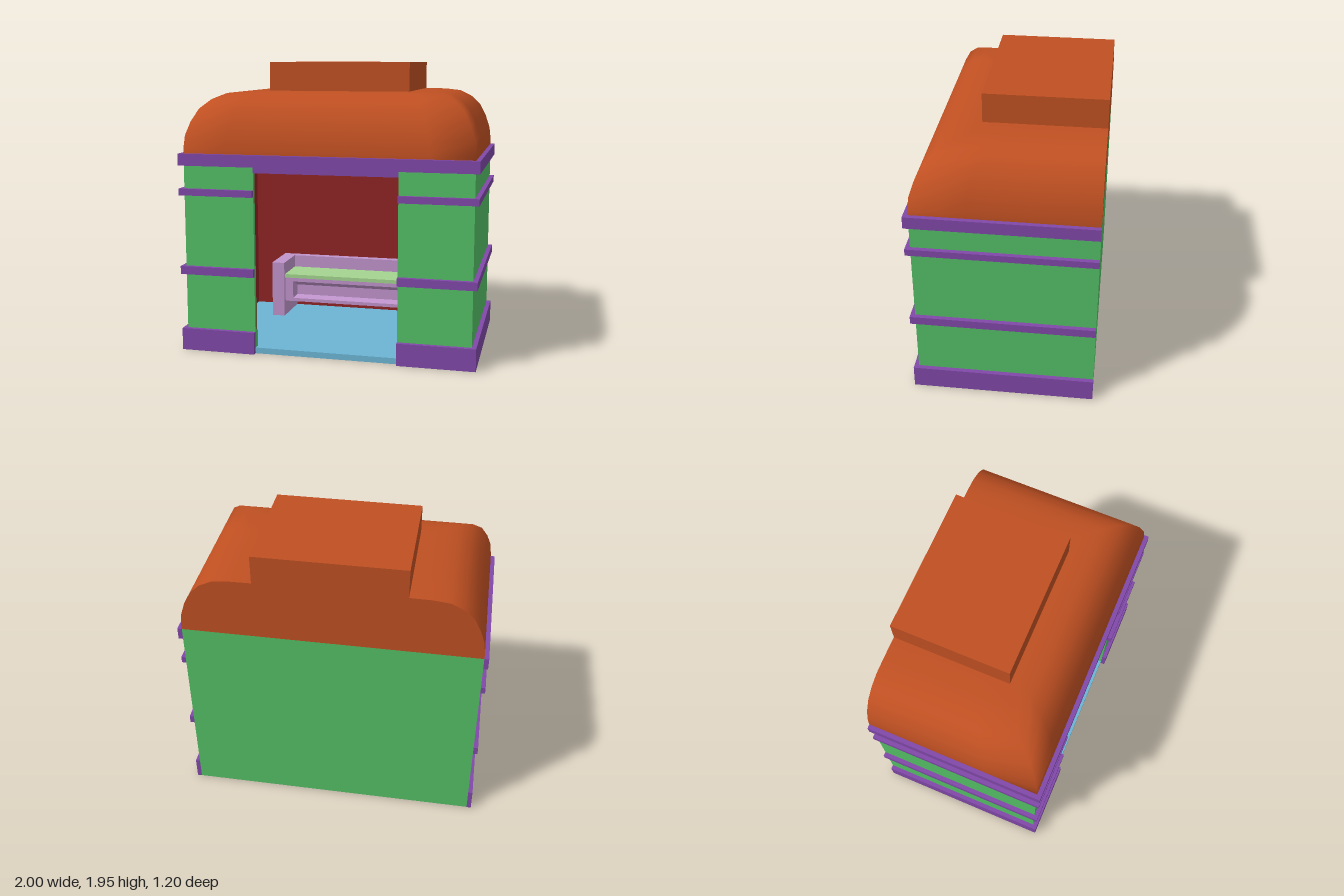
import * as THREE from 'three';

const mat = (color, side = THREE.FrontSide) => new THREE.MeshStandardMaterial({ color, side });
const M = {
  roof: mat(0xc05022), trim: mat(0x8048a8), wall: mat(0x55c066), lining: mat(0x902424),
  floor: mat(0x6cb4d4), bench: mat(0xc094cc), cushion: mat(0xa4d490),
};

// Joins matching rows of points into a surface
function loft(rings, closed, cap = false) {
  const n = rings[0].length, index = [];
  for (let i = 0; i < rings.length - 1; i++)
    for (let j = 0; j < (closed ? n : n - 1); j++) {
      const a = i * n + j, b = i * n + (j + 1) % n;
      index.push(a, b, b + n, a, b + n, a + n);
    }
  if (cap) {
    const s = (rings.length - 1) * n;
    for (let j = 1; j < n - 1; j++) index.push(s, s + j, s + j + 1);
  }
  const g = new THREE.BufferGeometry();
  g.setAttribute('position', new THREE.Float32BufferAttribute(rings.flat(2), 3));
  g.setIndex(index);
  return g;
}

export function createModel() {
  const model = new THREE.Group();
  model.name = 'shelter';

  const add = (parent, name, geometry, material) => {
    const mesh = new THREE.Mesh(geometry, material);
    mesh.name = name;
    parent.add(mesh);
    return mesh;
  };
  // Box given by its limits on each axis
  const box = (parent, name, material, x0, x1, y0, y1, z0, z1) => {
    const mesh = add(parent, name, new THREE.BoxGeometry(x1 - x0, y1 - y0, z1 - z0), material);
    mesh.position.set((x0 + x1) / 2, (y0 + y1) / 2, (z0 + z1) / 2);
    return mesh;
  };
  // The same box on the left and the right
  const pair = (parent, name, material, x0, x1, ...rest) => {
    box(parent, name + 'Left', material, x0, x1, ...rest);
    box(parent, name + 'Right', material, -x1, -x0, ...rest);
  };
  const group = (name) => {
    const g = new THREE.Group();
    g.name = name;
    model.add(g);
    return g;
  };

  // Floor and walls with an open front
  box(model, 'floor', M.floor, -0.968, 0.968, 0, 0.04, -0.598, 0.568);
  const walls = group('walls');
  box(walls, 'backWall', M.wall, -0.97, 0.97, 0.002, 1.35, -0.6, -0.57);
  pair(walls, 'sideWall', M.wall, 0.87, 0.97, 0.002, 1.27, -0.57, 0.57);
  pair(walls, 'frontWall', M.wall, 0.485, 0.87, 0.002, 1.27, 0.54, 0.57);

  // Dark red interior lining
  const lining = group('lining');
  box(lining, 'backLining', M.lining, -0.87, 0.87, 0.04, 1.25, -0.57, -0.55);
  pair(lining, 'sideLining', M.lining, 0.84, 0.87, 0.04, 1.25, -0.55, 0.54);
  pair(lining, 'frontLining', M.lining, 0.485, 0.84, 0.04, 1.25, 0.53, 0.54);

  // Raised purple bands, broken at the doorway
  const trim = group('trim');
  for (const [name, y0, y1] of [['base', 0, 0.15], ['lowerBand', 0.53, 0.585], ['upperBand', 1.07, 1.115]]) {
    pair(trim, name + 'Side', M.trim, 0.97, 1, y0, y1, -0.6, 0.6);
    pair(trim, name + 'Front', M.trim, 0.485, 0.97, y0, y1, 0.57, 0.6);
  }

  // Ceiling and cornice
  box(trim, 'ceiling', M.trim, -0.86, 0.86, 1.23, 1.27, -0.56, 0.535);
  box(trim, 'lintel', M.trim, -0.485, 0.485, 1.23, 1.27, 0.535, 0.57);
  box(trim, 'cornice', M.trim, -0.97, 0.97, 1.27, 1.35, -0.57, 0.6);
  pair(trim, 'corniceSide', M.trim, 0.97, 1, 1.27, 1.35, -0.6, 0.6);

  // Domed roof: each row runs along one side, the front and the other side
  const profile = [[0, 1.35], [0, 1.38], [0.01, 1.47], [0.04, 1.56], [0.085, 1.645],
    [0.15, 1.705], [0.23, 1.743], [0.34, 1.755], [0.49, 1.757]];
  const rows = profile.map(([inset, y]) => {
    const a = 0.97 - inset, b = 0.57 - inset, row = [];
    for (const t of [0, 0.35, 0.7, 1]) row.push([-a, y, -0.6 + (b + 0.6) * t]);
    for (const t of [-0.7, -0.35, 0, 0.35, 0.7]) row.push([a * t, y, b]);
    for (const t of [1, 0.7, 0.35, 0]) row.push([a, y, -0.6 + (b + 0.6) * t]);
    return row;
  });
  const dome = loft(rows, false);
  dome.computeVertexNormals();
  const roof = group('roof');
  add(roof, 'dome', dome, M.roof);

  // Flat rear face of the dome
  const outline = [
    ...profile.map(([i, y]) => new THREE.Vector2(0.97 - i, y)),
    ...profile.map(([i, y]) => new THREE.Vector2(i - 0.97, y)).reverse(),
  ];
  const rear = add(roof, 'domeBack', new THREE.ShapeGeometry(new THREE.Shape(outline)), M.roof);
  rear.rotation.y = Math.PI;
  rear.position.z = -0.6;
  box(roof, 'roofBlock', M.roof, -0.485, 0.485, 1.7, 1.95, -0.6, 0.18);

  // Bench with arms, backrest, cushion and a recessed front panel
  const bench = group('bench');
  pair(bench, 'arm', M.bench, 0.52, 0.614, 0.04, 0.45, -0.55, -0.21);
  box(bench, 'backrest', M.bench, -0.52, 0.52, 0.15, 0.45, -0.55, -0.49);
  box(bench, 'seatBase', M.bench, -0.52, 0.52, 0.15, 0.333, -0.49, -0.28);
  box(bench, 'cushion', M.cushion, -0.52, 0.52, 0.333, 0.36, -0.49, -0.23);
  const rect = (x, y0, y1, z) => [[-x, y0, z], [x, y0, z], [x, y1, z], [-x, y1, z]];
  const apron = loft([
    rect(0.52, 0.15, 0.333, -0.28), rect(0.52, 0.15, 0.333, -0.24),
    rect(0.46, 0.175, 0.303, -0.24), rect(0.435, 0.2, 0.275, -0.27),
  ], true, true).toNonIndexed();
  apron.computeVertexNormals();
  add(bench, 'frontPanel', apron, M.bench);

  return model;
}
